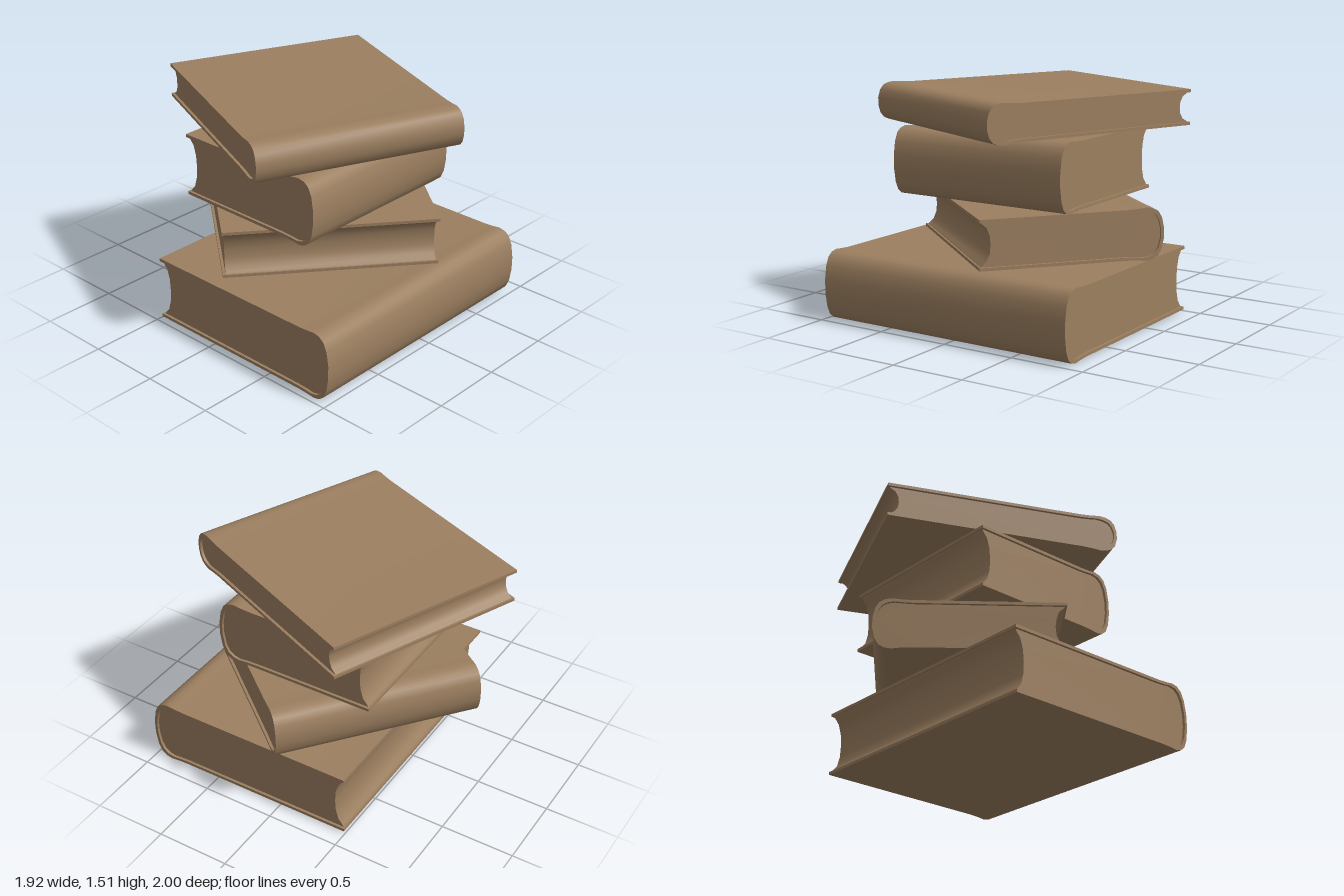
import * as THREE from 'three';
import { toCreasedNormals } from 'three/addons/utils/BufferGeometryUtils.js';

const leather = new THREE.MeshStandardMaterial({ color: 0x9c7f60 });
leather.name = 'brown';

// Add the lower half of a profile by mirroring its upper half
const mirror = (half) => [...half, ...half.slice().reverse().map(([u, y]) => [u, -y])];

// Extrude a profile along the spine and centre it
function extrude(points, length, name) {
  const shape = new THREE.Shape(points.map(([u, y]) => new THREE.Vector2(u, y)));
  const geometry = new THREE.ExtrudeGeometry(shape, { depth: length, bevelEnabled: false });
  geometry.translate(0, 0, -length / 2);
  const mesh = new THREE.Mesh(toCreasedNormals(geometry, 0.8), leather);
  mesh.name = name;
  return mesh;
}

// The spine is at local +x; the page edge is at local -x
function makeBook({ name, depth, length, bottom, top, x, z, out }) {
  const h = (top - bottom) / 2, e = depth / 2, t = 0.02;

  // Upper half of the outer cover: flat board, hinge swell, rounded spine
  const outer = [
    [-e, h - 0.012], [e - 0.24, h - 0.01], [e - 0.17, h - 0.006], [e - 0.12, h],
    [e - 0.075, h * 0.96], [e - 0.04, h * 0.84], [e - 0.015, h * 0.6], [e, h * 0.2],
  ];
  const shrink = (h - 0.012 - t) / (h - 0.012);
  const inner = outer.map(([u, y], i) => [i ? u - t : u, y * shrink]);
  const cover = extrude([...mirror(outer), ...mirror(inner).reverse()], length, 'cover');

  // Page block with a hollow fore edge
  const yi = inner[0][1];
  const hollow = [[-e + 0.075, 0], [-e + 0.07, yi * 0.4], [-e + 0.05, yi * 0.75], [-e + 0.02, yi * 0.93]];
  const pages = extrude(mirror([...hollow, [-e + 0.012, yi], ...inner.slice(1)]).slice(0, -1),
    length - 0.036, 'pages');

  const book = new THREE.Group();
  book.name = name;
  book.add(cover, pages);
  book.position.set(x, bottom + h, z);
  book.rotation.y = Math.atan2(-out[1], out[0]);
  return book;
}

export function createModel() {
  const stack = new THREE.Group();
  stack.name = 'bookStack';
  const books = [
    { name: 'bottomBook', depth: 1.49, length: 1.84, bottom: 0, top: 0.46, x: -0.04, z: 0.255, out: [0, 1] },
    { name: 'secondBook', depth: 1.21, length: 1.39, bottom: 0.455, top: 0.8, x: 0.04, z: -0.01, out: [0.629, -0.778] },
    { name: 'thirdBook', depth: 1.115, length: 1.28, bottom: 0.8, top: 1.25, x: -0.04, z: 0.058, out: [0, 1] },
    { name: 'topBook', depth: 1.545, length: 1.384, bottom: 1.253, top: 1.51, x: -0.02, z: -0.015, out: [-0.395, 0.919] },
  ];
  for (const b of books) stack.add(makeBook(b));
  return stack;
}
